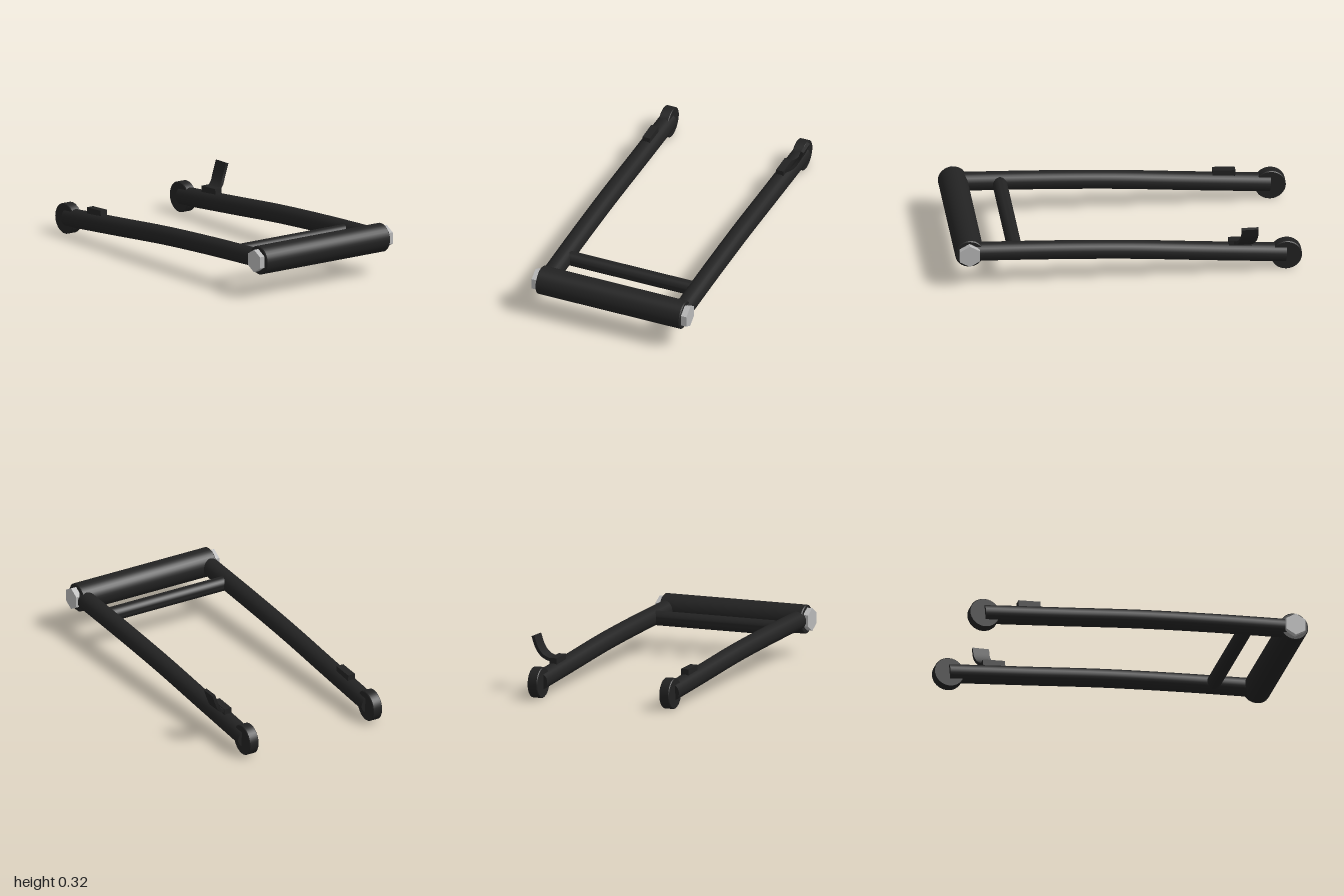
import * as THREE from 'three';
import { toCreasedNormals } from 'three/addons/utils/BufferGeometryUtils.js';

export function createModel() {
  const model = new THREE.Group();
  const black = new THREE.MeshStandardMaterial({ color: 0x222222 });
  black.name = 'black paint';
  const steel = new THREE.MeshStandardMaterial({ color: 0xb8b8b8 });
  steel.name = 'bare steel';

  function add(name, geometry, material, x = 0, y = 0, z = 0) {
    const mesh = new THREE.Mesh(geometry, material);
    mesh.name = name;
    mesh.position.set(x, y, z);
    model.add(mesh);
    return mesh;
  }

  // Round bar along z with slightly bevelled rims
  function bar(radius, length, bevel = 0.005, sides = 32) {
    const h = length / 2;
    const profile = [
      [0, -h], [radius - bevel, -h], [radius, -h + bevel],
      [radius, h - bevel], [radius - bevel, h], [0, h],
    ].map(([r, y]) => new THREE.Vector2(r, y));
    const g = new THREE.LatheGeometry(profile, sides).rotateX(Math.PI / 2);
    return toCreasedNormals(g, 0.6);
  }

  // Main pivot tube with a hex nut on each end
  add('pivotTube', bar(0.083, 0.89), black, 0.91, 0.211, 0.03);
  for (const [name, z] of [['frontNut', 0.489], ['backNut', -0.431]]) {
    const nut = new THREE.CylinderGeometry(0.066, 0.066, 0.036, 6).rotateX(Math.PI / 2);
    add(name, toCreasedNormals(nut, 0.4), steel, 0.912, 0.212, z);
  }

  // Two gently bowed legs, each with a foot disc and a stop pad
  const armRadius = 0.054;
  for (const [side, z] of [['front', 0.44], ['back', -0.385]]) {
    const path = new THREE.CatmullRomCurve3([
      [-0.91, 0.095], [-0.45, 0.132], [0, 0.169], [0.45, 0.194], [0.88, 0.211],
    ].map(([x, y]) => new THREE.Vector3(x, y, z)));
    add(side + 'Leg', new THREE.TubeGeometry(path, 24, armRadius, 24), black);
    for (const t of [0, 1]) {
      const cap = add(side + 'LegCap', new THREE.CircleGeometry(armRadius, 24), black);
      cap.position.copy(path.getPointAt(t));
      const dir = path.getTangentAt(t).multiplyScalar(t ? 1 : -1);
      cap.quaternion.setFromUnitVectors(new THREE.Vector3(0, 0, 1), dir);
    }
    add(side + 'FootDisc', bar(0.089, 0.061, 0.004), black, -0.911, 0.091, z);
    const pad = add(side + 'StopPad', new THREE.BoxGeometry(0.13, 0.05, 0.045), black, -0.645, 0.174, z);
    pad.rotation.z = 0.04;
  }

  // Cross brace between the legs
  add('crossBrace', bar(0.042, 0.77), black, 0.645, 0.201, 0.03);

  // Curved foot tab: a flat strip bent along a path
  const bend = new THREE.CatmullRomCurve3([
    new THREE.Vector3(-0.65, 0.175, -0.39),
    new THREE.Vector3(-0.672, 0.205, -0.443),
    new THREE.Vector3(-0.689, 0.25, -0.472),
    new THREE.Vector3(-0.692, 0.322, -0.498),
  ]);
  const strip = new THREE.BoxGeometry(0.096, 1, 0.018, 1, 12, 1);
  const pos = strip.attributes.position;
  for (let i = 0; i < pos.count; i++) {
    const t = THREE.MathUtils.clamp(pos.getY(i) + 0.5, 0, 1);
    const p = bend.getPointAt(t);
    const d = bend.getTangentAt(t);
    const n = Math.hypot(d.y, d.z);
    const off = pos.getZ(i);
    pos.setXYZ(i, p.x + pos.getX(i), p.y - (off * d.z) / n, p.z + (off * d.y) / n);
  }
  add('footTab', toCreasedNormals(strip, 0.6), black);

  return model;
}
